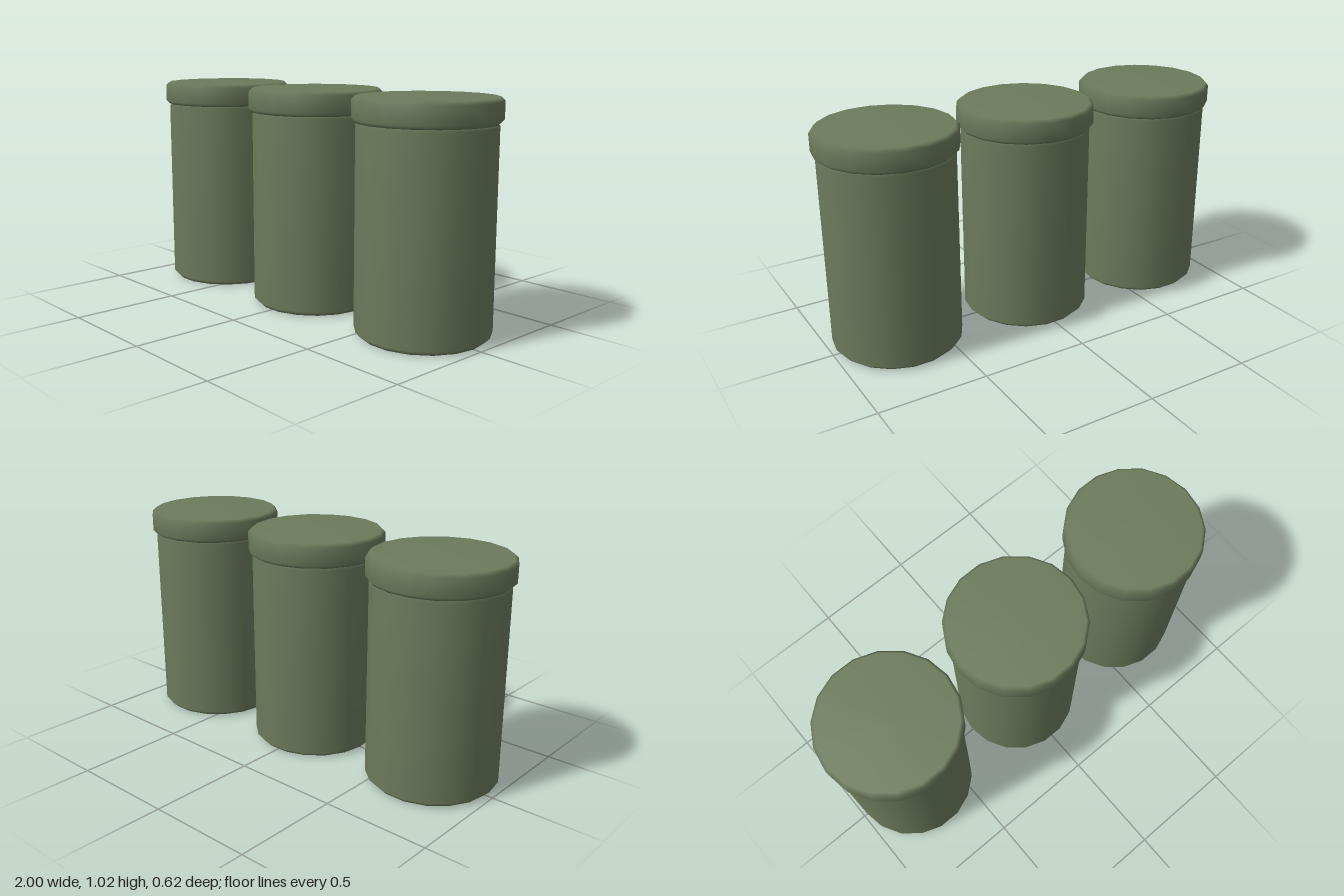
import * as THREE from 'three';

const SIDES = 18;
const olive = new THREE.MeshStandardMaterial({ color: 0x6b7b5b });
olive.name = 'olive green';

// Solid of revolution with bevelled rims, smooth all over, one corner on +x
function bevelledDrum(radius, bottom, top, bevel) {
  const profile = [
    [0, bottom],
    [radius - bevel, bottom],
    [radius, bottom + bevel],
    [radius, top - bevel],
    [radius - bevel, top],
    [0, top],
  ].map(([r, y]) => new THREE.Vector2(r, y));
  return new THREE.LatheGeometry(profile, SIDES, Math.PI / 2);
}

export function createModel() {
  const model = new THREE.Group();
  model.name = 'canisterSet';

  const bodyGeometry = bevelledDrum(0.298, 0, 0.922, 0.022);
  const lidGeometry = bevelledDrum(0.315, 0.911, 1.02, 0.016);

  // Three identical lidded canisters in a row
  ['rightCanister', 'middleCanister', 'leftCanister'].forEach((name, i) => {
    const canister = new THREE.Group();
    canister.name = name;
    canister.position.x = (i - 1) * 0.685;

    const body = new THREE.Mesh(bodyGeometry, olive);
    body.name = 'body';
    const lid = new THREE.Mesh(lidGeometry, olive);
    lid.name = 'lid';

    canister.add(body, lid);
    model.add(canister);
  });

  return model;
}
